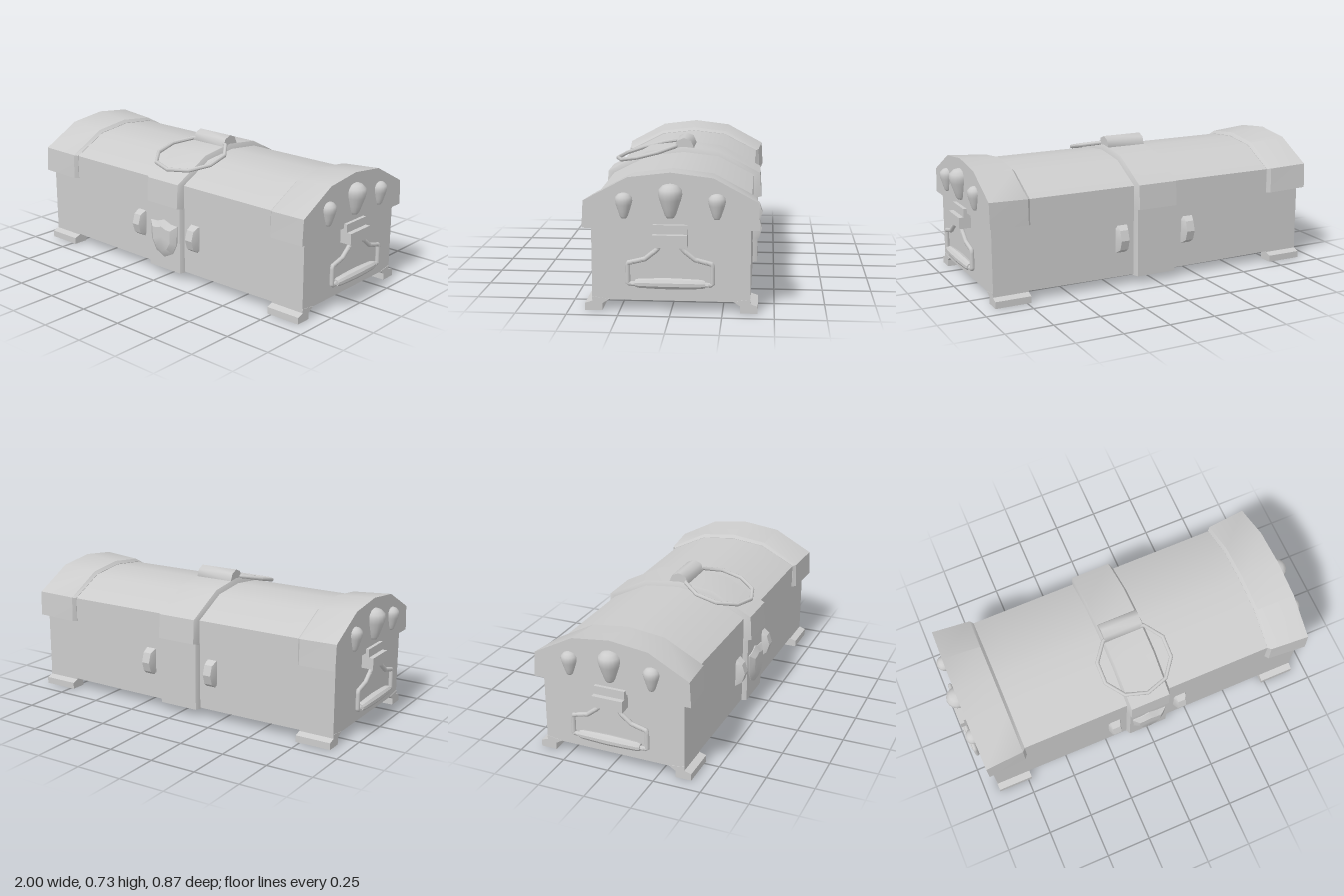
import * as THREE from 'three';
import { toCreasedNormals } from 'three/addons/utils/BufferGeometryUtils.js';

const material = new THREE.MeshStandardMaterial({ color: 0xcccccc });

function add(parent, name, geometry, crease = 0.6) {
  const mesh = new THREE.Mesh(crease ? toCreasedNormals(geometry, crease) : geometry, material);
  mesh.name = name;
  parent.add(mesh);
  return mesh;
}

// Half profile [z, y] from front bottom to ridge, mirrored to the back
const mirror = (half) => [...half, ...half.filter(([z]) => z > 0).reverse().map(([z, y]) => [-z, y])];

// Solid skinned over cross-sections { x, pts } along increasing x
function loft(sections) {
  const pos = [];
  const tri = (...vs) => vs.forEach((v) => pos.push(...v));
  const rings = sections.map(({ x, pts }) => pts.map(([z, y]) => [x, y, z]));
  const n = rings[0].length;
  const centre = (r) => [0, 1, 2].map((k) => r.reduce((s, p) => s + p[k], 0) / n);
  const first = rings[0], last = rings[rings.length - 1];
  for (let j = 0; j < n; j++) {
    const k = (j + 1) % n;
    for (let i = 0; i < rings.length - 1; i++) {
      const a = rings[i][j], b = rings[i][k], c = rings[i + 1][k], d = rings[i + 1][j];
      tri(a, d, c);
      tri(a, c, b);
    }
    tri(centre(first), first[j], first[k]);
    tri(centre(last), last[k], last[j]);
  }
  const g = new THREE.BufferGeometry();
  g.setAttribute('position', new THREE.Float32BufferAttribute(pos, 3));
  return g;
}

// Band with chamfered long edges
function band(w, inner, outer) {
  return loft([
    { x: -w - 0.013, pts: mirror(inner) }, { x: -w, pts: mirror(outer) },
    { x: w, pts: mirror(outer) }, { x: w + 0.013, pts: mirror(inner) },
  ]);
}

// Egg-shaped stud, flattened against the end wall
function stud(parent, z, yMid, width, height, depth) {
  const profile = [[0, -0.5], [0.3, -0.48], [0.46, -0.4], [0.66, -0.2], [0.9, 0.05], [1, 0.2],
    [0.94, 0.34], [0.62, 0.45], [0.3, 0.49], [0, 0.5]].map(([r, y]) => new THREE.Vector2(r, y));
  const m = add(parent, 'endStud', new THREE.LatheGeometry(profile, 16), 0);
  m.scale.set(depth, height, width);
  m.position.set(0.94, yMid, z);
}

function tube(points, radius) {
  const path = new THREE.CurvePath();
  for (let i = 1; i < points.length; i++) path.add(new THREE.LineCurve3(points[i - 1], points[i]));
  return new THREE.TubeGeometry(path, 40, radius, 8);
}

export function createModel() {
  const model = new THREE.Group();
  model.name = 'chest';

  // Body with arched top and slightly sagging floor
  const floorY = (x, z) => 0.056 - 0.017 * (1 - (x / 0.92) ** 2) * (1 - 0.6 * (z / 0.385) ** 2);
  const body = [-0.92, -0.6, -0.3, 0, 0.3, 0.6, 0.92].map((x) => ({
    x,
    pts: [
      ...mirror([[0.384, floorY(x, 0.384)], [0.384, 0.535], [0.19, 0.634], [0, 0.655]]),
      ...[-0.2, 0, 0.2].map((z) => [z, floorY(x, z)]),
    ],
  }));
  add(model, 'body', loft(body));

  // Central strap, lower part and lid part
  add(model, 'lowerStrap', band(0.112,
    [[0.384, 0.043], [0.384, 0.41]], [[0.408, 0.041], [0.408, 0.41]]));
  add(model, 'lidStrap', band(0.11,
    [[0.386, 0.402], [0.386, 0.536], [0.19, 0.635], [0, 0.656]],
    [[0.426, 0.412], [0.418, 0.543], [0.2, 0.657], [0, 0.682]]));

  // Barrel hinge and lifting ring on the lid
  const barrel = add(model, 'ringBarrel', new THREE.CylinderGeometry(0.055, 0.055, 0.22, 8), 0.9);
  barrel.rotation.z = Math.PI / 2;
  barrel.position.set(0, 0.675, 0);
  const ring = add(model, 'lidRing', new THREE.TorusGeometry(0.2, 0.011, 8, 10).rotateZ(Math.PI / 2), 0.9);
  ring.rotation.x = Math.PI / 2 + 0.25;
  ring.scale.y = 0.95;
  ring.position.set(0, 0.646, 0.195);

  // Shield plate with bevelled rim
  const outline = [[0, 0.11], [0.06, 0.14], [0.093, 0.2], [0.098, 0.305], [0.05, 0.307], [0, 0.325],
    [-0.05, 0.307], [-0.098, 0.305], [-0.093, 0.2], [-0.06, 0.14]];
  const shieldLoft = loft([[0.4, 1], [0.413, 1], [0.436, 0.66]].map(([x, s]) => ({
    x, pts: outline.map(([px, y]) => [px * s, 0.225 + (y - 0.225) * s]),
  })));
  add(model, 'shieldPlate', shieldLoft.rotateY(-Math.PI / 2));

  // Lugs beside the strap, front and back
  const arc = [[0.378, 0.178], [0.418, 0.205], [0.434, 0.257], [0.417, 0.31], [0.378, 0.335]];
  const lugArc = (s) => arc.map(([z, y]) => [0.378 + (z - 0.378) * s, y]);
  for (const turn of [0, Math.PI]) {
    for (const x of [-0.198, 0.198]) {
      const holder = new THREE.Group();
      holder.name = 'lugHolder';
      holder.rotation.y = turn;
      model.add(holder);
      const lug = add(holder, 'lug', loft([
        { x: -0.035, pts: lugArc(0.25) }, { x: -0.023, pts: lugArc(1) },
        { x: 0.023, pts: lugArc(1) }, { x: 0.035, pts: lugArc(0.25) },
      ]));
      lug.position.x = x;
    }
  }

  // Each end: lid cap, feet, studs and drop handle
  for (const turn of [0, Math.PI]) {
    const end = new THREE.Group();
    end.name = turn ? 'rightEnd' : 'leftEnd';
    end.rotation.y = turn;
    model.add(end);

    add(end, 'lidCap', loft([
      { x: 0.712, pts: mirror([[0.386, 0.402], [0.386, 0.536], [0.19, 0.636], [0, 0.657]]) },
      { x: 0.728, pts: mirror([[0.407, 0.404], [0.402, 0.54], [0.197, 0.65], [0, 0.674]]) },
      { x: 0.94, pts: mirror([[0.427, 0.416], [0.419, 0.55], [0.205, 0.665], [0, 0.69]]) },
    ]));

    const foot = [[0.42, 0], [0.42, 0.036], [0.384, 0.048], [0.384, 0.07],
      [0.3, 0.058], [0.335, 0.036], [0.335, 0]];
    for (const s of [1, -1]) {
      const pts = s > 0 ? foot : foot.map(([z, y]) => [-z, y]).reverse();
      add(end, 'foot', loft([{ x: 0.728, pts }, { x: 0.922, pts }]), 0.3);
      stud(end, s * 0.222, 0.528, 0.042, 0.126, 0.04);
    }
    stud(end, 0, 0.553, 0.058, 0.168, 0.06);

    add(end, 'handleBracket', new THREE.BoxGeometry(0.07, 0.06, 0.166)).position.set(0.949, 0.365, 0);
    add(end, 'handleBracketTop', new THREE.BoxGeometry(0.06, 0.045, 0.166)).position.set(0.928, 0.417, 0);

    for (const s of [1, -1]) {
      const points = [[0.05, 0.345], [0.063, 0.32], [0.12, 0.274], [0.203, 0.253], [0.203, 0.149], [0.155, 0.152]]
        .map(([z, y]) => new THREE.Vector3(0.962, y, s * z));
      add(end, 'handleArm', tube(points, 0.012), 0.9);
    }
    const gripProfile = [[0, -0.168], [0.018, -0.168], [0.023, -0.15], [0.026, -0.08], [0.028, 0],
      [0.026, 0.08], [0.023, 0.15], [0.018, 0.168], [0, 0.168]].map(([r, y]) => new THREE.Vector2(r, y));
    const grip = add(end, 'handleGrip', new THREE.LatheGeometry(gripProfile, 10));
    grip.rotation.x = Math.PI / 2;
    grip.position.set(0.962, 0.153, 0);
  }

  return model;
}
